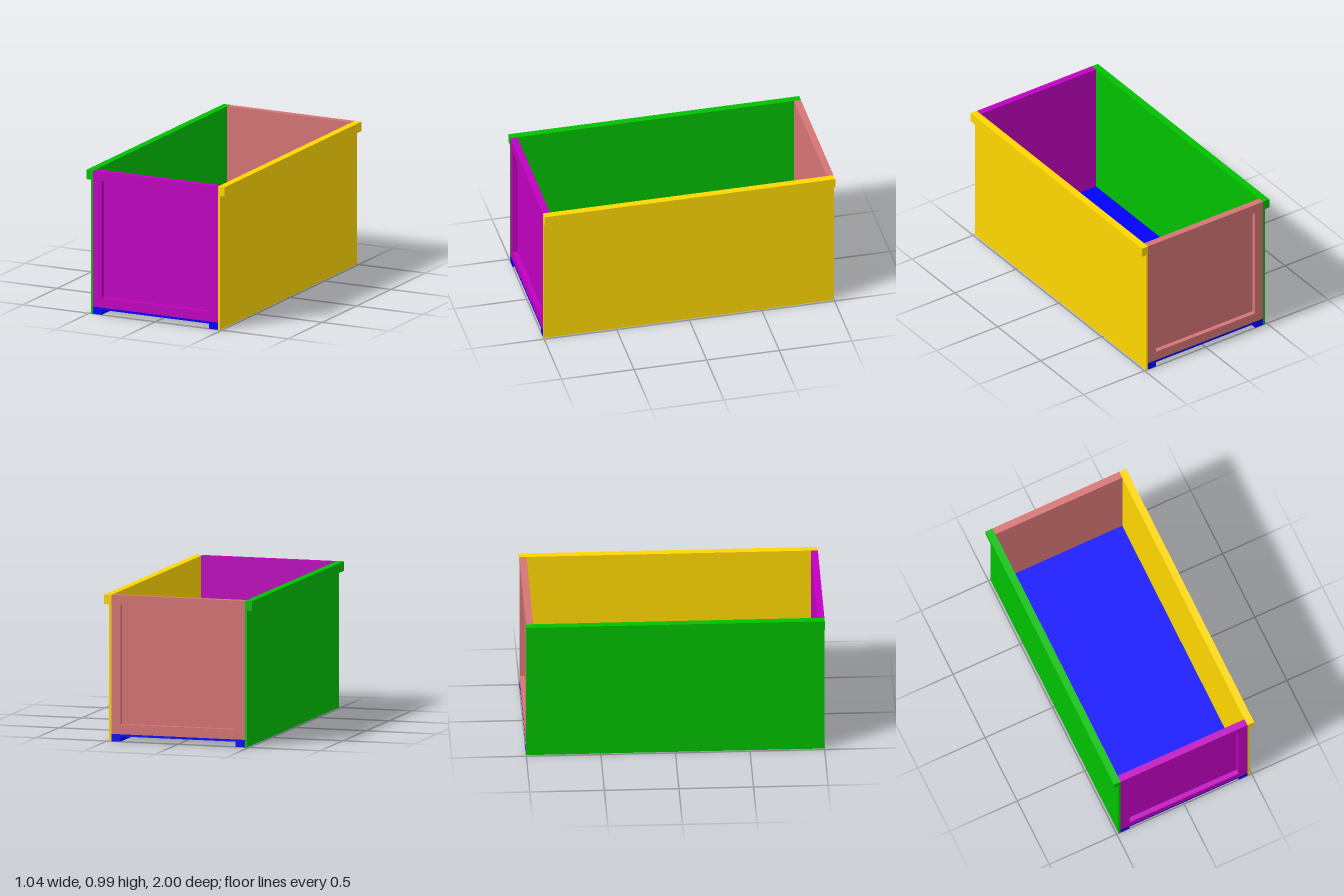
import * as THREE from 'three';

const IN = 0.47, OUT = 0.485, LIP = 0.52;   // side wall: inner face, outer face, rim lip
const TOP = 0.99, RIM = 0.925;              // top edge, underside of the rim
const FLOOR_TOP = 0.05, FLOOR_BOTTOM = 0.035;
const FRAME = 0.405;                        // half width between runners and inside end frames
const END_IN = 0.953, PANEL_OUT = 0.967;    // end wall: inner face, recessed panel face

const outline = (points) => new THREE.Shape(points.map(([x, y]) => new THREE.Vector2(x, y)));

const rectangle = (x, y0, y1) => [[-x, y0], [x, y0], [x, y1], [-x, y1]];

// Extrudes an outline along z, from z0 to z1
function extrude(shape, z0, z1) {
  const geometry = new THREE.ExtrudeGeometry(shape, { depth: z1 - z0, bevelEnabled: false });
  return geometry.translate(0, 0, z0);
}

function addMesh(parent, name, geometry, color) {
  const mesh = new THREE.Mesh(geometry, new THREE.MeshStandardMaterial({ color }));
  mesh.name = name;
  parent.add(mesh);
}

// End wall: a thin panel inside a raised frame
function endWall(name, color) {
  const wall = new THREE.Group();
  wall.name = name;
  const frame = outline(rectangle(IN, FLOOR_TOP, TOP));
  addMesh(wall, name + 'Panel', extrude(frame.clone(), END_IN, PANEL_OUT), color);
  frame.holes.push(outline(rectangle(FRAME, 0.117, RIM)));
  addMesh(wall, name + 'Frame', extrude(frame, PANEL_OUT, 1), color);
  return wall;
}

export function createModel() {
  const crate = new THREE.Group();
  crate.name = 'openCrate';

  // Floor with a runner along each side
  const floor = outline([
    [-IN, 0], [-FRAME, 0], [-FRAME, FLOOR_BOTTOM], [FRAME, FLOOR_BOTTOM],
    [FRAME, 0], [IN, 0], [IN, FLOOR_TOP], [-IN, FLOOR_TOP],
  ]);
  addMesh(crate, 'floor', extrude(floor, -1, 1), 0x0000ff);

  // Side walls with an overhanging rim
  const profile = [[IN, 0], [OUT, 0], [OUT, RIM], [LIP, RIM], [LIP, TOP], [IN, TOP]];
  for (const [name, side, color] of [['leftWall', 1, 0xffd700], ['rightWall', -1, 0x00c000]]) {
    const shape = outline(profile.map(([x, y]) => [side * x, y]));
    addMesh(crate, name, extrude(shape, -1, 1), color);
  }

  // End walls; the back one is the front one turned round
  const front = endWall('frontWall', 0xc000c0);
  const back = endWall('backWall', 0xd67575);
  back.rotation.y = Math.PI;
  crate.add(front, back);

  return crate;
}
